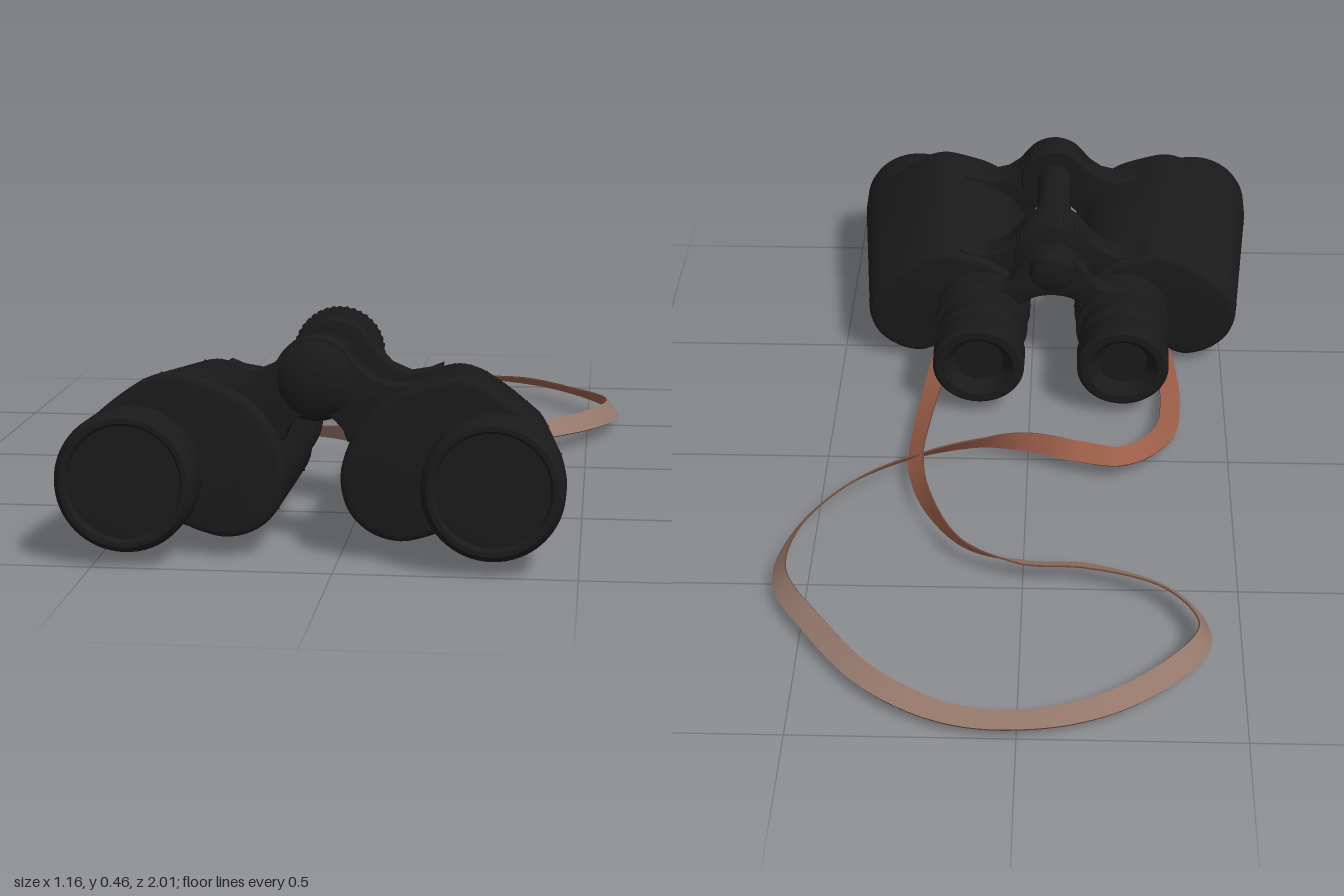
import * as THREE from 'three';
import { toCreasedNormals } from 'three/addons/utils/BufferGeometryUtils.js';

const mat = (name, color) => {
  const m = new THREE.MeshStandardMaterial({ color });
  m.name = name;
  return m;
};

export function createModel() {
  const black = mat('black leatherette', 0x1a1a1a);
  const suede = mat('strap suede', 0x94776a);
  const leather = mat('strap leather', 0x9a5d48);
  const edge = mat('strap edge', 0x6a4435);

  const root = new THREE.Group();
  root.name = 'binoculars';
  // Optical body, tipped slightly towards the eyepieces
  const body = new THREE.Group();
  body.name = 'opticalBody';
  body.position.set(-0.053, 0.165, 0.6);
  body.rotation.x = -0.05;
  root.add(body);

  const add = (parent, name, geo, material, x = 0, y = 0, z = 0) => {
    const m = new THREE.Mesh(geo, material);
    m.name = name;
    m.position.set(x, y, z);
    parent.add(m);
    return m;
  };
  // Turned part along z; the profile is [radius, z] from rear to front
  const turned = (profile, seg = 48) => toCreasedNormals(
    new THREE.LatheGeometry(profile.map(p => new THREE.Vector2(p[0], p[1])), seg).rotateX(Math.PI / 2), 0.6);
  // Closed smooth outline through a few points
  const outline = (pts, n) => new THREE.CatmullRomCurve3(
    pts.map(p => new THREE.Vector3(p[0], p[1], 0)), true).getSpacedPoints(n)
    .slice(0, n).map(p => new THREE.Vector2(p.x, p.y));
  const plate = (pts, z0, z1, bevel) => new THREE.ExtrudeGeometry(new THREE.Shape(pts), {
    depth: z1 - z0 - 2 * bevel, bevelEnabled: true, bevelSize: bevel,
    bevelThickness: bevel, bevelOffset: -bevel, bevelSegments: 3, steps: 1,
  }).translate(0, 0, z0 + bevel);

  const housing = [
    [0.377, -0.156], [0.447, -0.138], [0.503, -0.085], [0.525, -0.005], [0.507, 0.07], [0.455, 0.122],
    [0.395, 0.17], [0.345, 0.2], [0.298, 0.211], [0.245, 0.2], [0.17, 0.172], [0.105, 0.12],
    [0.068, 0.05], [0.057, -0.01], [0.074, -0.075], [0.12, -0.12], [0.183, -0.137],
    [0.24, -0.125], [0.28, -0.112], [0.32, -0.13],
  ];
  const zFront = 0.295, zRear = -0.165;
  const taper = z => {
    const k = (zFront - z) / (zFront - zRear);
    return [1 - 0.1 * k, 1 - 0.15 * k];
  };

  for (const s of [-1, 1]) {
    const side = s > 0 ? 'left' : 'right';
    const ring = outline(housing.map(([x, y]) => [x * s, y]), 96);
    const tapered = geo => {
      const p = geo.attributes.position;
      for (let i = 0; i < p.count; i++) {
        const [kx, ky] = taper(p.getZ(i));
        p.setXY(i, s * 0.07 + (p.getX(i) - s * 0.07) * kx, p.getY(i) * ky);
      }
      return toCreasedNormals(geo, 0.7);
    };
    add(body, side + 'PrismHousing', tapered(plate(ring, zRear, zFront, 0.014)), black);

    // Rivets along both ends of the covering
    const rivet = new THREE.SphereGeometry(0.0025, 6, 4);
    for (const z of [-0.135, 0.255]) {
      const row = new THREE.Group();
      row.name = side + 'RivetRow';
      const [kx, ky] = taper(z);
      for (let i = 0; i < ring.length; i += 3)
        add(row, 'rivet', rivet, black, s * 0.07 + (ring[i].x - s * 0.07) * kx, ring[i].y * ky, z);
      body.add(row);
    }

    // Objective barrel with a rim around the recessed front disc
    add(body, side + 'Objective', turned([
      [0, 0.25], [0.142, 0.25], [0.142, 0.278], [0.148, 0.305], [0.148, 0.375], [0.144, 0.39],
      [0.134, 0.399], [0.124, 0.399], [0.119, 0.394], [0.118, 0.384], [0, 0.387],
    ], 64), black, s * 0.378, -0.006, 0);

    // Eyepiece with a stepped cup and hollow rear
    add(body, side + 'Eyepiece', turned([
      [0, -0.385], [0.062, -0.385], [0.066, -0.395], [0.082, -0.41], [0.088, -0.417], [0.108, -0.417],
      [0.116, -0.41], [0.117, -0.35], [0.112, -0.342], [0.11, -0.335], [0.109, -0.315], [0.112, -0.312],
      [0.112, -0.285], [0.109, -0.28], [0.109, -0.255], [0.12, -0.25], [0.12, -0.222], [0.11, -0.216],
      [0.11, -0.195], [0.118, -0.19], [0.118, -0.15], [0, -0.15],
    ]), black, s * 0.183, 0.009, 0);
  }

  // Hinge bridges, mirrored from one half outline
  const bridge = d => {
    const half = [];
    for (let a = 85; a >= 35; a -= 10) {
      const t = a * Math.PI / 180;
      half.push([0.086 * Math.cos(t), 0.198 + 0.086 * Math.sin(t)]);
    }
    half.push([0.095, 0.217], [0.125, 0.195 - d * 0.6], [0.168, 0.184 - d], [0.21, 0.191 - d], [0.24, 0.203 - d],
      [0.24, 0.13 - d], [0.12, 0.06], [0.067, 0.065], [0.058, 0.09], [0.035, 0.115], [0.01, 0.121]);
    const other = half.map(([x, y]) => [-x, y]).reverse();
    return [...half, ...other].map(p => new THREE.Vector2(p[0], p[1]));
  };
  add(body, 'frontBridge', toCreasedNormals(plate(bridge(0), 0.18, 0.25, 0.004), 0.6), black);
  add(body, 'rearBridge', toCreasedNormals(plate(bridge(0.018), -0.145, -0.08, 0.006), 0.6), black);
  add(body, 'hingeShaft', turned([[0, -0.25], [0.045, -0.25], [0.045, 0.24], [0, 0.24]], 32), black, 0, 0.198, 0);
  add(body, 'hingeCap', turned([
    [0, 0.17], [0.086, 0.17], [0.09, 0.178], [0.09, 0.235], [0.083, 0.248], [0.06, 0.261], [0.03, 0.27], [0, 0.273],
  ]), black, 0, 0.195, 0);
  add(body, 'hingeScrew', turned([[0.007, 0.268], [0.013, 0.268], [0.013, 0.278], [0.007, 0.278], [0.006, 0.271]], 20), black, 0, 0.205, 0);

  // Focus wheel with a knurled rim, and rear knob
  add(body, 'focusWheel', turned([
    [0, -0.2], [0.09, -0.2], [0.1, -0.194], [0.1, -0.16], [0.09, -0.154], [0, -0.154],
  ]), black, 0, 0.198, 0);
  for (let i = 0; i < 40; i++) {
    const a = i * Math.PI / 20;
    const k = add(body, 'focusKnurl', new THREE.BoxGeometry(0.005, 0.007, 0.03), black,
      0.1 * Math.cos(a), 0.198 + 0.1 * Math.sin(a), -0.177);
    k.rotation.z = a;
  }
  add(body, 'rearKnob', turned([
    [0, -0.278], [0.03, -0.275], [0.05, -0.267], [0.058, -0.25], [0.058, -0.222], [0.045, -0.2], [0, -0.2],
  ], 32), black, 0, 0.19, 0);

  // Arm joining the eyepieces to the focus shaft
  const armHalf = [[0.03, 0.24], [0.075, 0.2], [0.12, 0.135], [0.19, 0.122], [0.215, 0.06],
    [0.15, 0.03], [0.1, 0.065], [0.065, 0.09], [0.025, 0.105]];
  const arm = outline([...armHalf, ...armHalf.map(([x, y]) => [-x, y]).reverse()], 80);
  add(body, 'eyepieceArm', toCreasedNormals(plate(arm, -0.24, -0.195, 0.006), 0.6), black);

  // Strap path: x, y, z and roll in degrees (0 = suede up, -180 = leather up)
  const path = [
    [-0.325, 0.03, 0.55, -180], [-0.345, 0.03, 0.42, -180], [-0.36, 0.035, 0.21, -165], [-0.335, 0.045, 0.05, -158],
    [-0.235, 0.06, -0.06, -155], [-0.13, 0.065, -0.05, -135], [0, 0.062, -0.01, -98], [0.11, 0.055, -0.005, -60],
    [0.27, 0.06, -0.07, -45], [0.425, 0.06, -0.185, -45], [0.54, 0.055, -0.37, -55], [0.56, 0.05, -0.53, -52],
    [0.463, 0.05, -0.7, -35], [0.325, 0.045, -0.865, -30], [0.16, 0.035, -0.957, -15], [0, 0.03, -0.973, -8],
    [-0.18, 0.035, -0.93, -22], [-0.34, 0.045, -0.82, -40], [-0.415, 0.05, -0.7, -58], [-0.34, 0.05, -0.555, -42],
    [-0.155, 0.05, -0.475, -28], [0, 0.05, -0.465, -30], [0.135, 0.055, -0.41, -60], [0.23, 0.06, -0.265, -105],
    [0.272, 0.06, -0.105, -135], [0.268, 0.05, 0.08, -145], [0.243, 0.035, 0.35, -165], [0.22, 0.028, 0.55, -180],
  ];
  const curve = new THREE.CatmullRomCurve3(path.map(p => new THREE.Vector3(p[0], p[1], p[2])));
  const up = new THREE.Vector3(0, 1, 0), steps = 260, hw = 0.026, ht = 0.002;
  const sections = [];
  for (let i = 0; i <= steps; i++) {
    const u = i / steps, f = u * (path.length - 1);
    const j = Math.min(Math.floor(f), path.length - 2);
    const roll = THREE.MathUtils.degToRad(THREE.MathUtils.lerp(path[j][3], path[j + 1][3], f - j));
    const c = curve.getPoint(u), t = curve.getTangent(u);
    const w = new THREE.Vector3().crossVectors(t, up).normalize().applyAxisAngle(t, -roll);
    const n = new THREE.Vector3().crossVectors(w, t);
    sections.push([[-1, 1], [1, 1], [1, -1], [-1, -1]].map(([a, b]) =>
      c.clone().addScaledVector(w, a * hw).addScaledVector(n, b * ht)));
  }
  const strap = new THREE.Group();
  strap.name = 'strap';
  root.add(strap);
  [['strapSuedeFace', suede], ['strapOuterEdge', edge], ['strapLeatherFace', leather], ['strapInnerEdge', edge]].forEach(([name, m], k) => {
    const pos = [], idx = [];
    sections.forEach((sec, i) => {
      pos.push(...sec[k].toArray(), ...sec[(k + 1) % 4].toArray());
      const a = 2 * i;
      if (i < steps) idx.push(a, a + 1, a + 2, a + 1, a + 3, a + 2);
    });
    const g = new THREE.BufferGeometry();
    g.setAttribute('position', new THREE.Float32BufferAttribute(pos, 3));
    g.setIndex(idx);
    g.computeVertexNormals();
    add(strap, name, g, m);
  });

  // Folded strap ends, keepers and carrying lugs under each housing
  for (const [x, y, tilt] of [[-0.325, 0.04, 0.3], [0.22, 0.029, 0]]) {
    const end = new THREE.Group();
    end.name = 'strapEnd';
    end.position.set(x, y, 0.5);
    end.rotation.z = tilt;
    add(end, 'strapFold', new THREE.BoxGeometry(0.054, 0.006, 0.16), leather, 0, -0.007, -0.03);
    const tab = add(end, 'strapTab', new THREE.BoxGeometry(0.054, 0.044, 0.008), leather, 0, -0.006, 0.05);
    tab.rotation.x = -0.35;
    add(end, 'strapKeeper', new THREE.BoxGeometry(0.06, 0.016, 0.018), leather, 0, -0.003, -0.08);
    add(end, 'carryingLug', new THREE.TorusGeometry(0.03, 0.006, 8, 20), black, 0, 0.025, 0.03);
    root.add(end);
  }
  return root;
}
